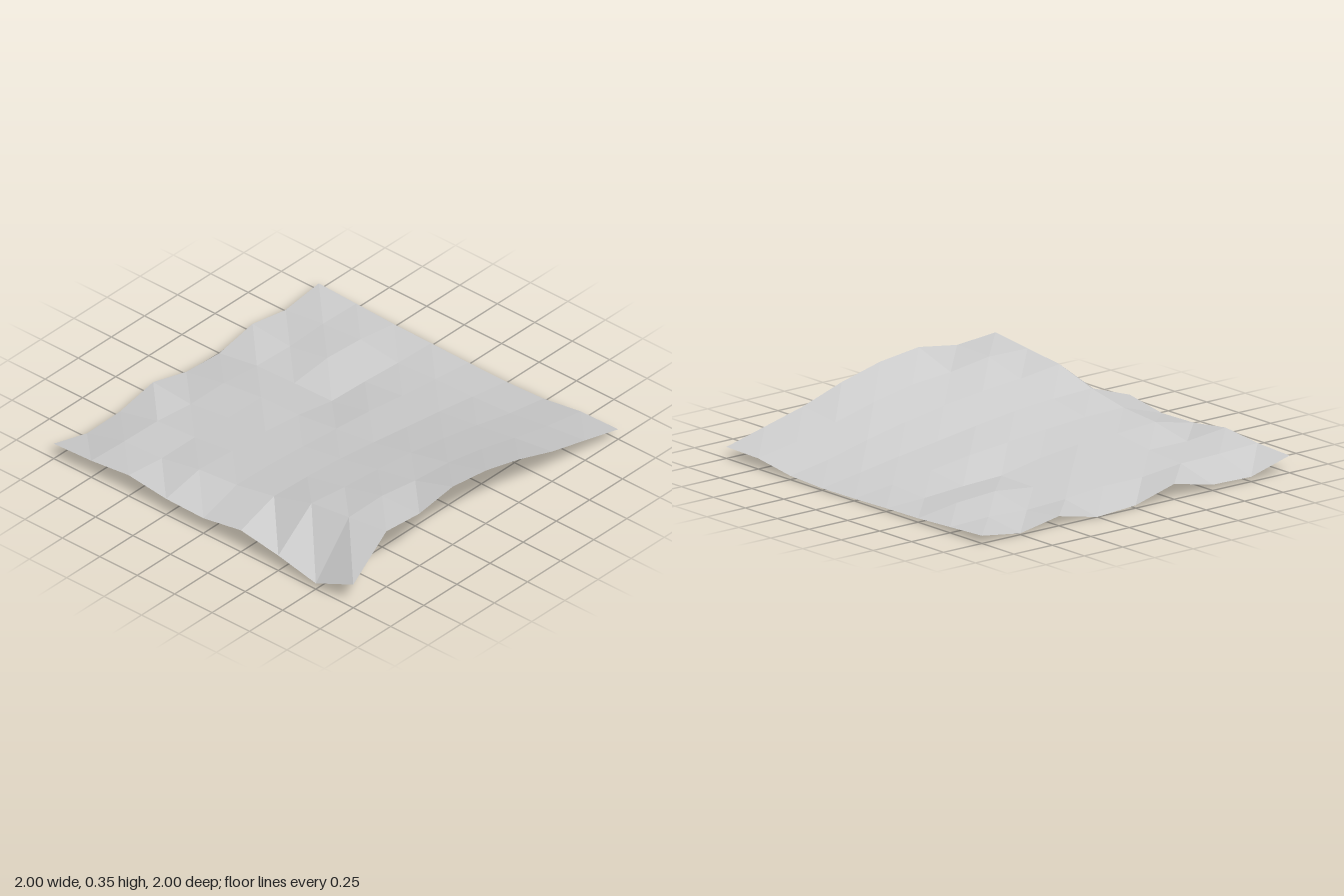
import * as THREE from 'three';

// Ground heights in hundredths of a unit: one row per z from back to front, x from -1 to 1
const HEIGHTS = [
  [9, 2.5, 3, 8, 1.5, 0, 5, 0.7, 4],
  [10, 9, 8.5, 6, 6, 3.7, 2.7, 3.7, 3],
  [12.5, 10, 10, 9, 8.7, 4.5, 7, 5.5, 2],
  [9.5, 14.5, 13, 12, 9.3, 4.9, 4, 2.5, 1.7],
  [9, 16.5, 16, 14.3, 12.2, 10, 6.7, 4, 1.2],
  [13, 21, 20, 18.2, 15.2, 11.8, 8.5, 4.7, 1],
  [9, 28, 25, 23, 20.3, 16.3, 11.5, 6, 2],
  [3.5, 30.7, 31, 27.5, 25.5, 21, 15, 9.5, 5.5],
  [14, 33.5, 31.5, 35, 32, 26, 18, 12, 6],
];

export function createModel() {
  const group = new THREE.Group();
  group.name = 'terrain';

  const stone = new THREE.MeshStandardMaterial({
    color: 0xcccccc, flatShading: true, side: THREE.DoubleSide,
  });
  stone.name = 'light grey';

  // Faceted ground sheet: a flat grid raised to the heights
  const n = HEIGHTS.length;
  const sheet = new THREE.PlaneGeometry(2, 2, n - 1, n - 1).rotateX(-Math.PI / 2);
  const pos = sheet.attributes.position;
  for (let i = 0; i < pos.count; i++) {
    pos.setY(i, HEIGHTS[Math.floor(i / n)][i % n] / 100);
  }
  const faceted = sheet.toNonIndexed();
  faceted.computeVertexNormals();

  const ground = new THREE.Mesh(faceted, stone);
  ground.name = 'groundSurface';
  group.add(ground);
  return group;
}
